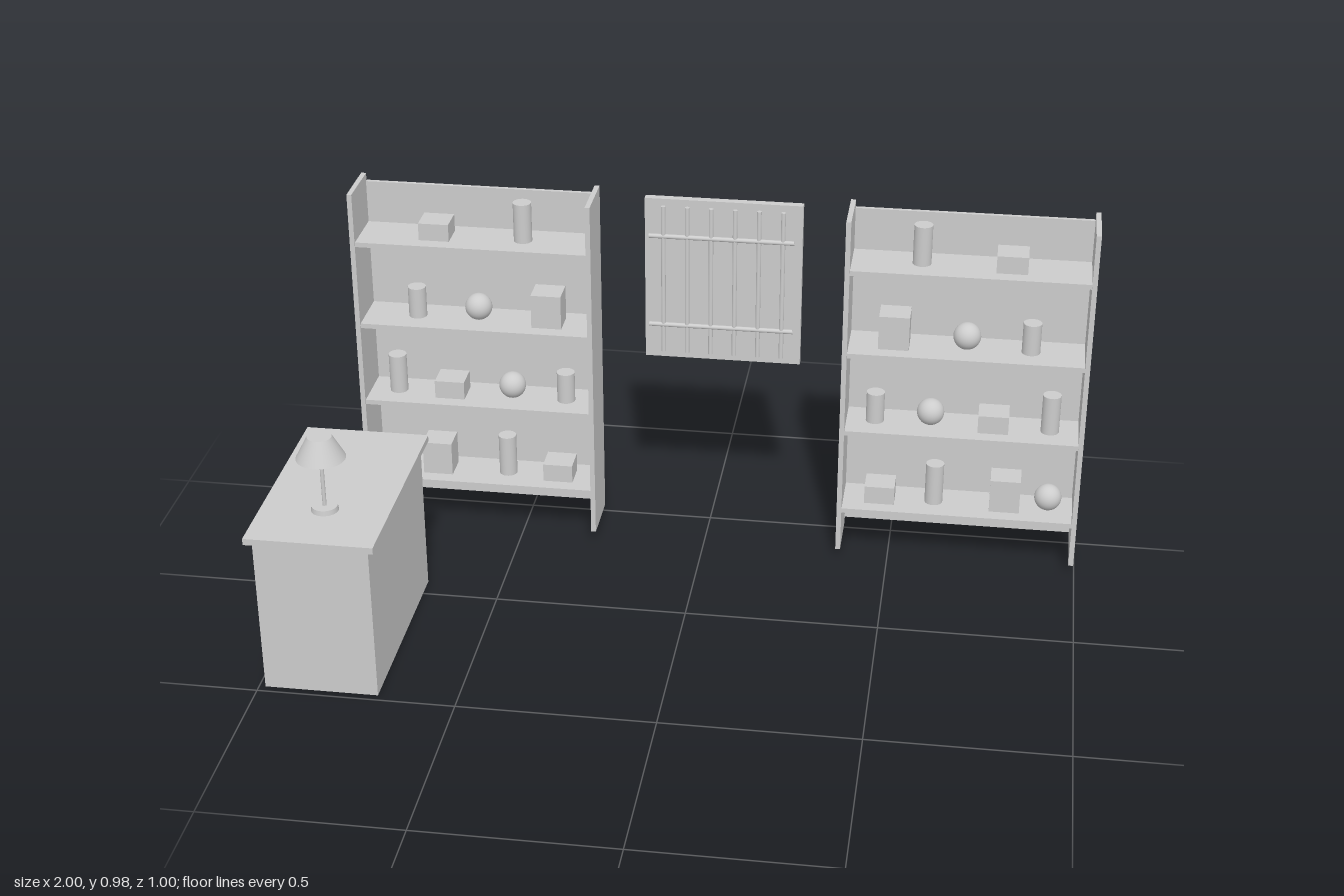
import * as THREE from 'three';

export function createModel() {
  const grey = new THREE.MeshStandardMaterial({ color: 0xcccccc });
  grey.name = 'plain grey';
  const model = new THREE.Group();
  model.name = 'shopInterior';

  const add = (parent, name, geometry, x, y, z) => {
    const mesh = new THREE.Mesh(geometry, grey);
    mesh.name = name;
    mesh.position.set(x, y, z);
    parent.add(mesh);
    return mesh;
  };
  // Box given by its limits on each axis
  const box = (parent, name, x0, x1, y0, y1, z0, z1) =>
    add(parent, name, new THREE.BoxGeometry(x1 - x0, y1 - y0, z1 - z0),
      (x0 + x1) / 2, (y0 + y1) / 2, (z0 + z1) / 2);
  // Upright cylinder or cone standing on y0
  const post = (parent, name, rTop, rBottom, x, y0, y1, z) =>
    add(parent, name, new THREE.CylinderGeometry(rTop, rBottom, y1 - y0, 32),
      x, (y0 + y1) / 2, z);
  const part = (name) => {
    const g = new THREE.Group();
    g.name = name;
    model.add(g);
    return g;
  };

  // Goods on each shelf: [kind, offset from the case centre, height]
  const shelves = [
    { top: 0.15, goods: [['box', -0.208, 0.05], ['jar', -0.064, 0.115], ['box', 0.125, 0.093], ['ball', 0.239]] },
    { top: 0.384, goods: [['jar', -0.23, 0.084], ['ball', -0.084], ['box', 0.082, 0.05], ['jar', 0.23, 0.107]] },
    { top: 0.611, goods: [['box', -0.188, 0.093], ['ball', 0], ['jar', 0.166, 0.084]] },
    { top: 0.845, goods: [['jar', -0.126, 0.107], ['box', 0.104, 0.047]] },
  ];
  const goodsZ = -0.417;

  // Two bookcases whose goods mirror each other
  const bookcase = (name, cx, mirror) => {
    const g = part(name);
    const half = 0.318, t = 0.013;
    for (const s of [-1, 1]) {
      const x = cx + s * (half - t / 2);
      box(g, 'sidePanel', x - t / 2, x + t / 2, 0.025, 0.98, -0.49, -0.338);
    }
    box(g, 'backPanel', cx - half + t, cx + half - t, 0.043, 0.959, -0.495, -0.484);
    for (const { top, goods } of shelves) {
      box(g, 'shelf', cx - half + t, cx + half - t, top - 0.013, top, -0.484, -0.342);
      for (const [kind, offset, h] of goods) {
        const x = cx + mirror * offset;
        if (kind === 'box') box(g, 'goodsBox', x - 0.04, x + 0.04, top, top + h, goodsZ - 0.037, goodsZ + 0.037);
        else if (kind === 'jar') post(g, 'jar', 0.024, 0.024, x, top, top + h, goodsZ);
        else add(g, 'ball', new THREE.SphereGeometry(0.036, 32, 20), x, top + 0.036, goodsZ);
      }
    }
  };
  bookcase('rightBookcase', -0.612, -1);
  bookcase('leftBookcase', 0.679, 1);

  // Wall panel with a grille of round bars
  const grille = part('wallGrille');
  box(grille, 'wallPanel', -0.174, 0.24, 0.503, 0.957, -0.5, -0.479);
  for (let i = 0; i < 6; i++)
    post(grille, 'uprightBar', 0.006, 0.006, -0.124 + i * 0.0628, 0.523, 0.94, -0.47);
  for (const y of [0.602, 0.856]) {
    const rail = add(grille, 'crossBar', new THREE.CylinderGeometry(0.006, 0.006, 0.382, 24), 0.029, y, -0.469);
    rail.rotation.z = Math.PI / 2;
  }

  // Counter
  const counter = part('counter');
  box(counter, 'counterBody', -0.984, -0.698, 0, 0.418, -0.06, 0.48);
  box(counter, 'counterTop', -1, -0.68, 0.418, 0.435, -0.075, 0.5);

  // Table lamp
  const lamp = part('tableLamp');
  const lx = -0.841, lz = 0.335;
  post(lamp, 'lampBase', 0.032, 0.034, lx, 0.435, 0.448, lz);
  post(lamp, 'lampStem', 0.005, 0.005, lx, 0.448, 0.582, lz);
  post(lamp, 'lampShade', 0.03, 0.061, lx, 0.58, 0.638, lz);

  return model;
}
